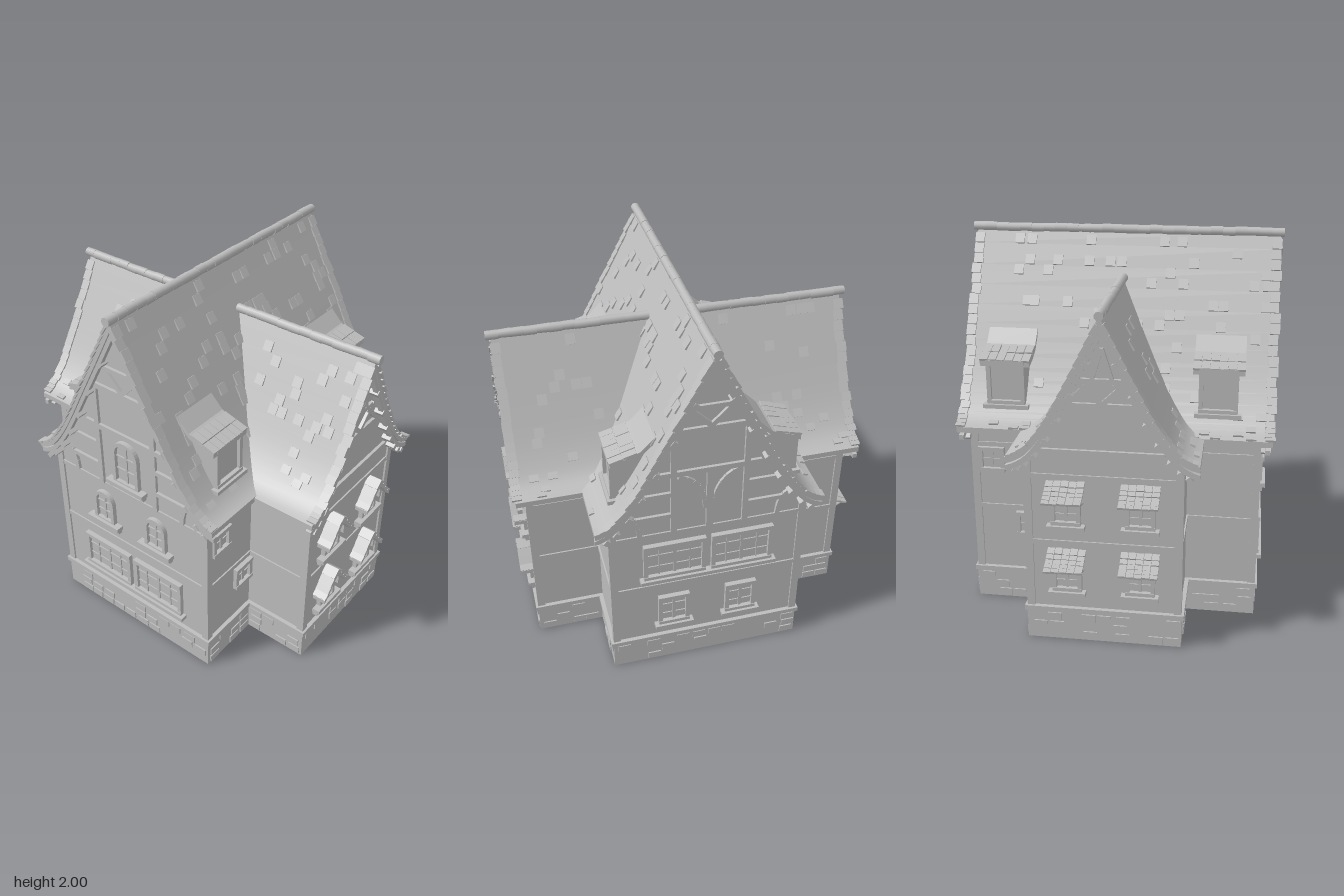
import * as THREE from 'three';
import { mergeGeometries, toCreasedNormals } from 'three/addons/utils/BufferGeometryUtils.js';

const grey = new THREE.MeshStandardMaterial({ color: 0xbcbcbc, side: THREE.DoubleSide });
grey.name = 'plain grey';
const V2 = (x, y) => new THREE.Vector2(x, y);
let seed = 7;
const rnd = () => (seed = (seed * 16807) % 2147483647) / 2147483647;

// roof half profiles: distance from ridge, height
const spline = (pts, n = 16) => new THREE.SplineCurve(pts.map(p => V2(...p))).getPoints(n);
const MAIN = spline([[0, 1.97], [0.11, 1.755], [0.225, 1.535], [0.32, 1.35], [0.4, 1.21], [0.48, 1.1], [0.54, 1.05], [0.59, 1.03]]);
const WING = spline([[0, 1.73], [0.1, 1.53], [0.2, 1.335], [0.28, 1.195], [0.36, 1.09], [0.42, 1.045], [0.47, 1.025]]);
const HOOD = spline([[0, 0.14], [0.05, 0.085], [0.08, 0.035], [0.115, 0]], 8);
const lerpBy = (prof, v, from, to) => {
  for (let i = 1; i < prof.length; i++) {
    const a = prof[i - 1], b = prof[i], t = (v - a[from]) / (b[from] - a[from]);
    if (t >= 0 && t <= 1) return a[to] + t * (b[to] - a[to]);
  }
  return prof[prof.length - 1][to];
};
const yAt = (prof, d) => lerpBy(prof, Math.abs(d), 'x', 'y');
const dAt = (prof, y) => (y > prof[0].y ? 0 : lerpBy(prof, y, 'y', 'x'));

// geometry helpers, all in a local frame facing +z
const box = (x, y, z, w, h, d, rz = 0, rx = 0) => new THREE.BoxGeometry(w, h, d).rotateX(rx).rotateZ(rz).translate(x, y, z).toNonIndexed();
const extrude = (shape, depth, z = 0) => new THREE.ExtrudeGeometry(shape, { depth, bevelEnabled: false, curveSegments: 8 }).translate(0, 0, z);
const beam = (x1, y1, x2, y2, w = 0.03, z = 0.006, d = 0.02) =>
  box((x1 + x2) / 2, (y1 + y2) / 2, z, Math.hypot(x2 - x1, y2 - y1), w, d, Math.atan2(y2 - y1, x2 - x1));
const both = fn => [...fn(1), ...fn(-1)];
const bow = (a, c, b, w) => {
  const p = new THREE.QuadraticBezierCurve(V2(...a), V2(...c), V2(...b)).getPoints(6);
  return p.slice(1).map((q, i) => beam(p[i].x, p[i].y, q.x, q.y, w));
};
// curved gable shell, vertical thickness t0 at the ridge to t1 at the eave
const shell = (prof, t0, t1, depth, z, drop = 0) => {
  const n = prof.length - 1, out = [], inn = [];
  for (let i = -n; i <= n; i++) {
    const p = prof[Math.abs(i)], s = Math.sign(i), t = t0 + (t1 - t0) * Math.abs(i) / n;
    out.push(V2(s * p.x, p.y - drop));
    inn.unshift(V2(s * p.x, p.y - drop - t));
  }
  return extrude(new THREE.Shape([...out, ...inn]), depth, z);
};
const gableWall = (prof, half) => {
  const pts = [V2(-half, 1), V2(half, 1)];
  for (let i = 10; i >= -10; i--) pts.push(V2(i / 10 * half, yAt(prof, i / 10 * half) - 0.025));
  return extrude(new THREE.Shape(pts), 0.02, -0.02);
};

// windows
const rectWindow = (x, y, w, h, cols, rows, sill) => {
  const g = [box(x, y, 0.002, w, h, 0.006)];
  for (const s of [-1, 1]) {
    g.push(box(x + s * (w / 2 - 0.011), y, 0.008, 0.022, h, 0.03));
    g.push(box(x, y + s * (h / 2 - 0.011), 0.01, w, 0.022, 0.034));
  }
  for (let i = 1; i < cols; i++) g.push(box(x + (i / cols - 0.5) * w, y, 0.005, i * 2 === cols ? 0.016 : 0.007, h, 0.014));
  for (let i = 1; i < rows; i++) g.push(box(x, y + (i / rows - 0.5) * h, 0.005, w, 0.007, 0.012));
  if (sill) g.push(box(x, y - h / 2 - 0.008, 0.016, w + 0.04, 0.022, 0.05));
  return g;
};
const archWindow = (x, y, w, h) => {
  const arch = (r, b) => {
    const s = new THREE.Shape();
    s.moveTo(-r, b); s.lineTo(r, b); s.lineTo(r, h - w / 2);
    s.absarc(0, h - w / 2, r, 0, Math.PI, false);
    return s;
  };
  const frame = arch(w / 2, 0);
  frame.holes.push(arch(w / 2 - 0.02, 0.015));
  return [extrude(frame, 0.03, -0.005).translate(x, y, 0), extrude(arch(w / 2 - 0.01, 0), 0.006, -0.001).translate(x, y, 0),
    box(x, y + h / 2, 0.006, 0.012, h - 0.03, 0.012), box(x, y + h * 0.33, 0.006, w - 0.02, 0.007, 0.012),
    box(x, y + h * 0.62, 0.006, w - 0.02, 0.007, 0.012),
    box(x, y - 0.005, 0.018, w + 0.08, 0.024, 0.05), ...both(s => [box(x + s * (w / 2 + 0.02), y - 0.028, 0.012, 0.025, 0.025, 0.03)])];
};
// small pointed hood with rows of tiles
const hood = (x, y) => {
  const g = [toCreasedNormals(shell(HOOD, 0.04, 0.022, 0.08, -0.005), 0.6).translate(x, y, 0)];
  for (let i = 1; i < 8; i += 2) {
    const a = HOOD[i - 1], b = HOOD[i + 1] || HOOD[i];
    for (const s of [-1, 1]) g.push(box(x + s * (a.x + b.x) / 2, y + (a.y + b.y) / 2 + 0.004, 0.035, a.distanceTo(b), 0.01, 0.085, -s * Math.atan2(a.y - b.y, b.x - a.x) + s * 0.12));
  }
  return [...g, ...both(s => [box(x + s * 0.085, y - 0.01, 0.02, 0.02, 0.06, 0.04)])];
};
// sloping tiled awning on curved brackets
const awning = (x, y) => {
  const g = [];
  for (let r = 0; r < 5; r++) for (let c = 0; c < 5; c++)
    g.push(box(x + (c - 2) * 0.039, y - 0.018 * r + 0.0015 * r * r + rnd() * 0.004, 0.015 + r * 0.025, 0.037, 0.012, 0.04, 0, 0.4 - r * 0.04));
  const path = new THREE.QuadraticBezierCurve3(new THREE.Vector3(0, -0.1, 0), new THREE.Vector3(0, -0.09, 0.04), new THREE.Vector3(0, -0.055, 0.1));
  return [...g, ...both(s => [new THREE.TubeGeometry(path, 6, 0.009, 5).translate(x + s * 0.08, y, 0).toNonIndexed()])];
};

// dormer: cheeks, window and swept tile roof; z measured from the ridge
const dormer = x => {
  const side = [[0.48, 1.36], [0.4, 1.38], [0.33, 1.41], [0.26, 1.48]];
  const roof = new THREE.Shape([...side.map(p => V2(...p)), ...side.map(p => V2(p[0], p[1] - 0.028)).reverse()]);
  const g = [box(x, 1.235, 0.33, 0.2, 0.27, 0.25), extrude(roof, 0.26, -0.13).rotateY(-Math.PI / 2).translate(x, 0, 0)];
  for (let i = 0; i < 2; i++) for (let c = 0; c < 6; c++)
    g.push(box(x + (c - 2.5) * 0.044, 1.37 + i * 0.022 + rnd() * 0.005, 0.45 - i * 0.07, 0.041, 0.012, 0.07, 0, 0.28));
  return [...g, ...rectWindow(x, 1.245, 0.2, 0.24, 1, 1, true).map(q => q.translate(0, 0, 0.458))];
};

// tiles scattered over both slopes, with a rough row along each verge
const tiles = (prof, z0, z1, verges) => {
  const g = [], end = prof[prof.length - 1].x;
  for (let d = 0.03; d < end; d += 0.026) {
    const y = yAt(prof, d), a = Math.atan2(yAt(prof, d - 0.012) - yAt(prof, Math.min(d + 0.012, end)), 0.024);
    const start = Math.max(z0, prof === WING ? dAt(MAIN, y) + 0.05 : z0);
    const len = Math.min(0.055, 0.026 / Math.cos(a));
    for (const s of [-1, 1]) {
      const put = z => g.push(box(s * d, y + 0.004, z, len, 0.012, 0.05, -s * (a - 0.1)));
      for (let z = start + 0.05; z < z1 - 0.06; z += 0.055) if (rnd() < 0.13) put(z + rnd() * 0.02);
      for (const v of verges) put(v - Math.sign(v) * (0.018 + rnd() * 0.012));
    }
  }
  return g;
};
const ridge = (y, z0, z1) => {
  const g = [], n = Math.round((z1 - z0) / 0.065), step = (z1 - z0) / n;
  for (let i = 0; i < n; i++)
    g.push(new THREE.CylinderGeometry(0.021 + rnd() * 0.004, 0.024, step, 10).rotateX(Math.PI / 2).translate(0, y + rnd() * 0.004, z0 + (i + 0.5) * step).toNonIndexed());
  return g;
};
// bargeboard with purlin blocks
const barge = (prof, z) => {
  const g = [shell(prof, 0.06, 0.025, 0.025, z - 0.04, 0.045)];
  for (let i = 2; i < prof.length - 1; i += 2) for (const s of [-1, 1])
    g.push(box(s * prof[i].x * 0.97, prof[i].y - 0.085, z - 0.035, 0.03, 0.025, 0.05, -s * 0.9));
  return g;
};

// cross-shaped plan, grown outward by o
const plan = o => {
  const a = 0.75 + o, b = 0.51 + o, c = 0.385 + o, d = 0.87 + o;
  return [[c, b], [c, d], [-c, d], [-c, b], [-a, b], [-a, -b], [-c, -b], [-c, -d], [c, -d], [c, -b], [a, -b], [a, b]].map(p => V2(...p));
};
const ring = (o, y0, y1, thick) => {
  const s = new THREE.Shape(plan(o));
  s.holes.push(new THREE.Path(plan(o - thick)));
  return extrude(s, y1 - y0).rotateX(-Math.PI / 2).translate(0, y0, 0);
};

export function createModel() {
  const root = new THREE.Group();
  root.name = 'timberHouse';
  const house = new THREE.Group();
  house.name = 'house';
  house.position.z = 0.02;
  root.add(house);
  const add = (name, geoms, turn = 0, out = 0) => {
    const mesh = new THREE.Mesh(mergeGeometries(geoms), grey);
    mesh.name = name;
    mesh.rotation.y = turn;
    mesh.position.set(Math.sin(turn) * out, 0, Math.cos(turn) * out);
    house.add(mesh);
  };
  const H = Math.PI / 2;

  // walls, plinth and floor bands
  add('walls', [ring(0, 0.15, 1.03, 0.02)]);
  add('plinth', [ring(0.01, 0, 0.17, 0.05)]);
  add('floorBands', [ring(0.022, 0.162, 0.188, 0.04), ring(0.008, 0.54, 0.565, 0.02), ring(0.008, 0.9, 0.925, 0.02)]);

  // rough plinth stones and corner posts around the plan
  const stones = [], posts = [], pts = plan(0.01);
  pts.forEach((p, i) => {
    const q = pts[(i + 1) % 12], len = p.distanceTo(q), ang = Math.atan2(q.y - p.y, q.x - p.x);
    for (let r = 0; r < 3; r++) for (let u = 0.04; u < len - 0.04; u += 0.085)
      if (rnd() < 0.55) stones.push(box(u + rnd() * 0.02, 0.03 + r * 0.05, 0, 0.07, 0.042, 0.014).rotateY(-ang).translate(p.x, 0, p.y));
    if (i % 3) posts.push(box(p.x - Math.sign(p.x) * 0.02, 0.6, p.y - Math.sign(p.y) * 0.02, 0.04, 0.85, 0.04));
  });
  add('plinthStones', stones);
  add('cornerPosts', posts);

  // main roof along x
  add('mainRoof', [toCreasedNormals(shell(MAIN, 0.06, 0.03, 1.62, -0.81), 0.6)], H);
  add('mainRoofTiles', tiles(MAIN, -0.81, 0.81, [-0.82, 0.82]), H);
  add('mainRidge', ridge(1.97, -0.83, 0.83), H);

  for (const [name, turn] of [['front', 0], ['back', Math.PI]]) {
    // wing roof, its inner end cut to the valley
    const roof = shell(WING, 0.06, 0.03, 0.93, 0), pos = roof.attributes.position;
    for (let i = 0; i < pos.count; i++) if (pos.getZ(i) < 0.01) pos.setZ(i, dAt(MAIN, pos.getY(i)) - 0.005);
    add(name + 'WingRoof', [toCreasedNormals(roof, 0.6)], turn);
    add(name + 'WingTiles', tiles(WING, 0.1, 0.93, [0.94]), turn);
    add(name + 'WingRidge', ridge(1.735, 0.12, 0.955), turn);
    add(name + 'Bargeboard', barge(WING, 0.94), turn);
    add(name + 'Gable', [gableWall(WING, 0.385)], turn, 0.87);
    add(name + 'GableTimbers', [beam(-0.3, 1.045, 0.3, 1.045), beam(-0.19, 1.285, 0.19, 1.285), beam(-0.1, 1.41, 0.1, 1.41, 0.025),
      ...both(s => [beam(0, 1.295, s * 0.12, 1.41, 0.025), beam(s * 0.17, 1.29, s * 0.06, 1.4, 0.025), beam(s * 0.05, 1.41, 0, 1.57, 0.02)])], turn, 0.87);
    // dormers and little side windows
    add(name + 'Dormers', turn ? [...dormer(-0.57), ...dormer(0.53)] : [...dormer(-0.53), ...dormer(0.57)], turn);
    add(name + 'SmallWindows', [...rectWindow(-0.65, 0.83, 0.14, 0.14, 2, 2), ...rectWindow(-0.46, 0.46, 0.14, 0.14, 2, 2)], turn, 0.51);
    // four wing windows with covers
    const wins = [], covers = [];
    for (const x of [-0.185, 0.185]) for (const y of [0.27, 0.64]) {
      wins.push(...(turn ? rectWindow(x, y + 0.105, 0.15, 0.18, 2, 3, true) : archWindow(x, y, 0.14, 0.19)));
      covers.push(...(turn ? awning(x, y + 0.235) : hood(x, y + 0.115)));
    }
    add(name + 'Windows', wins, turn, 0.87);
    add(name + 'WindowCovers', covers, turn, 0.87);
  }

  for (const [name, turn] of [['left', H], ['right', -H]]) {
    add(name + 'Bargeboard', barge(MAIN, 0.815), turn);
    add(name + 'Gable', [gableWall(MAIN, 0.51)], turn, 0.75);
    const timbers = [beam(-0.26, 1.29, 0.26, 1.29), beam(-0.19, 1.535, 0.19, 1.535), beam(-0.11, 1.66, 0.11, 1.66, 0.025),
      ...both(s => [beam(s * 0.185, 0.92, s * 0.185, 1.535), beam(s * 0.185, 1.17, s * 0.36, 1.17, 0.025), beam(s * 0.185, 1.035, s * 0.45, 1.035, 0.025),
        beam(0, 1.55, s * 0.1, 1.65, 0.025), ...bow([s * 0.36, 0.93], [s * 0.37, 1.1], [s * 0.47, 1.06], 0.025)])];
    if (turn > 0) timbers.push(beam(0, 0.92, 0, 1.28, 0.035), ...both(s => bow([s * 0.02, 1.05], [s * 0.03, 1.23], [s * 0.16, 1.27], 0.025)));
    add(name + 'GableTimbers', timbers, turn, 0.75);
    add(name + 'Windows', turn > 0
      ? both(s => [...rectWindow(s * 0.18, 0.74, 0.33, 0.23, 4, 3, true), ...rectWindow(s * 0.185, 0.375, 0.17, 0.2, 2, 3, true)])
      : [...both(s => [...rectWindow(s * 0.18, 0.38, 0.33, 0.22, 4, 3, true), ...archWindow(s * 0.18, 0.66, 0.14, 0.2)]), ...archWindow(0, 0.99, 0.17, 0.27)], turn, 0.75);
  }
  return root;
}
